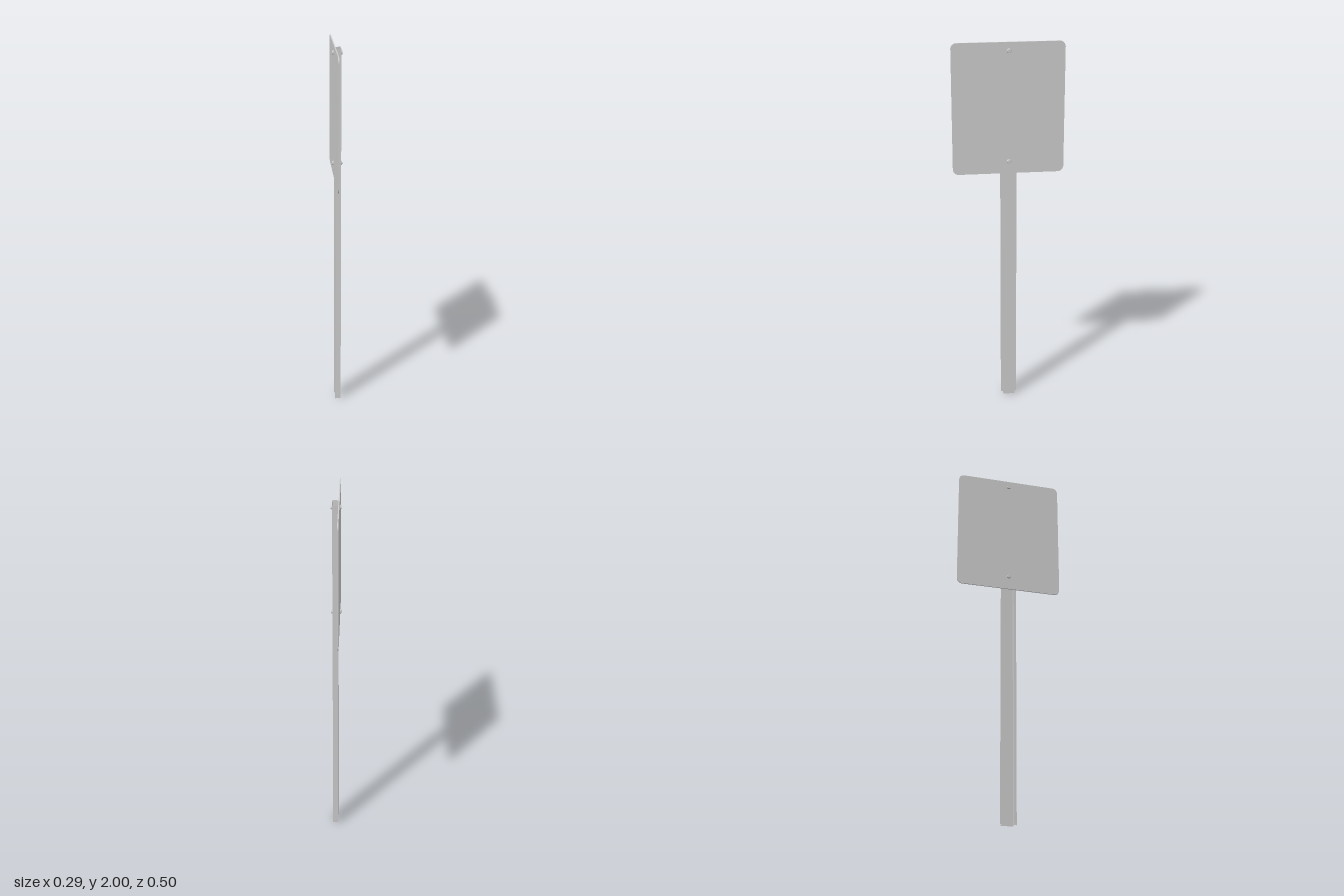
import * as THREE from 'three';

const grey = new THREE.MeshStandardMaterial({ color: 0xcccccc });
const sheet = new THREE.MeshStandardMaterial({ color: 0xcccccc, side: THREE.DoubleSide });

function add(parent, name, geometry, material = grey) {
  const mesh = new THREE.Mesh(geometry, material);
  mesh.name = name;
  parent.add(mesh);
  return mesh;
}

// Upright rectangle with rounded corners
function roundedRect(w, y0, y1, r) {
  const x = w / 2;
  const s = new THREE.Shape();
  s.absarc(x - r, y0 + r, r, -Math.PI / 2, 0);
  s.absarc(x - r, y1 - r, r, 0, Math.PI / 2);
  s.absarc(-x + r, y1 - r, r, Math.PI / 2, Math.PI);
  s.absarc(-x + r, y0 + r, r, Math.PI, Math.PI * 1.5);
  s.closePath();
  return s;
}

// Bolt along z: round heads at both ends of a shaft
function makeBolt(y) {
  const bolt = new THREE.Group();
  bolt.name = 'bolt';
  const profile = [
    [0, -0.0105], [0.009, -0.0105], [0.012, -0.0032], [0.007, -0.0032],
    [0.007, 0.0345], [0.012, 0.0345], [0.009, 0.0415], [0, 0.0415],
  ].map(([r, h]) => new THREE.Vector2(r, h));
  const geometry = new THREE.LatheGeometry(profile, 16).toNonIndexed();
  geometry.computeVertexNormals();
  geometry.rotateX(Math.PI / 2);
  add(bolt, 'boltBody', geometry);
  bolt.position.y = y;
  return bolt;
}

export function createModel() {
  const model = new THREE.Group();
  model.name = 'signPost';

  // Whole sign is turned about the vertical axis
  const sign = new THREE.Group();
  sign.name = 'sign';
  sign.rotation.y = Math.PI / 3;
  model.add(sign);

  // Thin sign plate
  const plate = new THREE.ExtrudeGeometry(roundedRect(0.578, 1.31, 2, 0.03), {
    depth: 0.006, bevelEnabled: false, curveSegments: 8,
  });
  plate.translate(0, 0, -0.003);
  add(sign, 'signPlate', plate);

  // Hat-section sheet metal post: flange, side, web, side, flange
  const post = new THREE.Group();
  post.name = 'post';
  sign.add(post);
  const height = 1.985;
  const section = [
    [-0.043, 0.0035], [-0.03, 0.0035], [-0.032, 0.034],
    [0.032, 0.034], [0.03, 0.0035], [0.043, 0.0035],
  ];
  const names = ['flange', 'side', 'web', 'side', 'flange'];
  names.forEach((name, i) => {
    const [x0, z0] = section[i];
    const [x1, z1] = section[i + 1];
    const strip = add(post, name, new THREE.PlaneGeometry(Math.hypot(x1 - x0, z1 - z0), height), sheet);
    strip.position.set((x0 + x1) / 2, height / 2, (z0 + z1) / 2);
    strip.rotation.y = -Math.atan2(z1 - z0, x1 - x0);
  });

  // Bolts through plate and post
  for (const y of [1.385, 1.963]) sign.add(makeBolt(y));

  return model;
}
